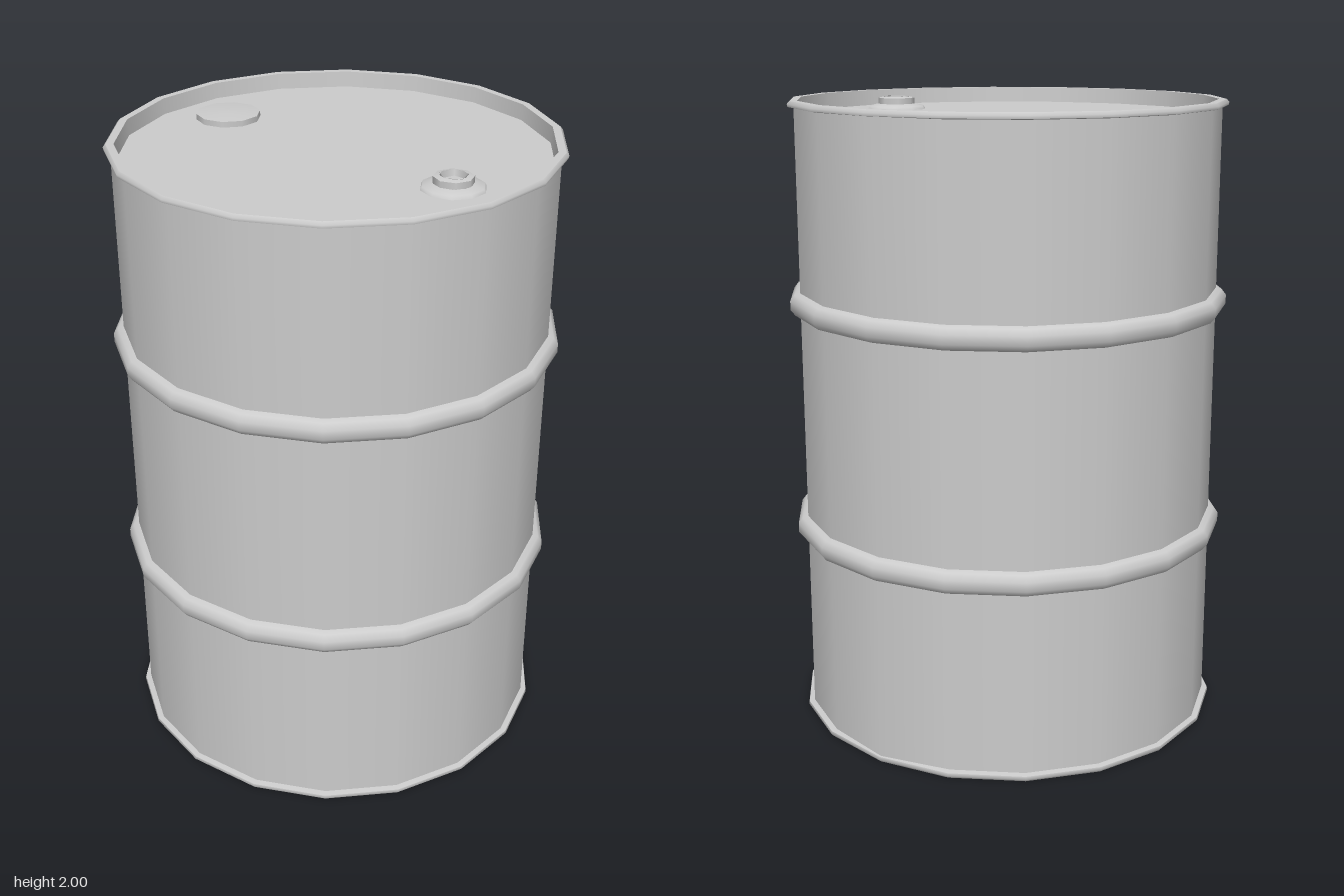
import * as THREE from 'three';

const SIDES = 18;
const material = new THREE.MeshStandardMaterial({ color: 0xcccccc, side: THREE.DoubleSide });

// Revolve a profile of [radius, y] points; each call is one smooth run.
function turn(name, profile, sides = SIDES, mat = material) {
  const points = profile.map(([r, y]) => new THREE.Vector2(r, y));
  const mesh = new THREE.Mesh(new THREE.LatheGeometry(points, sides, -Math.PI / 2), mat);
  mesh.name = name;
  return mesh;
}

// Push the wall slightly outward at one end of the +x side.
function flare(mesh, endY) {
  const p = mesh.geometry.attributes.position;
  for (let i = 0; i < p.count; i++) {
    const r = Math.hypot(p.getX(i), p.getZ(i));
    if (Math.abs(p.getY(i) - endY) < 0.01 && p.getX(i) > 0.99 * r) {
      p.setX(i, p.getX(i) * 1.018);
    }
  }
  return mesh;
}

// Rolled edge and recessed disc at one end; the bottom end is flipped over.
function makeEnd(name, recess) {
  const end = new THREE.Group();
  end.name = name;
  const lid = 1 - recess;
  end.add(
    turn('rimUnderside', [[0.665, 0.978], [0.688, 0.982]]),
    turn('rimEdge', [[0.688, 0.982], [0.69, 0.991], [0.682, 1]]),
    turn('rimTop', [[0.682, 1], [0.658, 1]]),
    turn('rimInnerWall', [[0.658, 1], [0.655, lid]]),
    turn('endDisc', [[0.655, lid], [0.33, lid], [0, lid]])
  );
  end.position.y = 1;
  return end;
}

export function createModel() {
  const drum = new THREE.Group();
  drum.name = 'drum';

  // Wall
  drum.add(
    flare(turn('lowerWall', [[0.67, 0.015], [0.67, 0.62]]), 0.015),
    turn('middleWall', [[0.67, 0.62], [0.67, 1.38]]),
    flare(turn('upperWall', [[0.67, 1.38], [0.67, 1.985]]), 1.985)
  );

  // Rolling hoops
  for (const [name, y] of [['lowerHoop', 0.637], ['upperHoop', 1.372]]) {
    drum.add(turn(name, [
      [0.668, y - 0.038], [0.688, y - 0.032], [0.702, y - 0.014],
      [0.702, y + 0.014], [0.688, y + 0.032], [0.668, y + 0.038]
    ]));
  }

  // Ends
  const top = makeEnd('topEnd', 0.05);
  const bottom = makeEnd('bottomEnd', 0.04);
  bottom.rotation.x = Math.PI;
  drum.add(top, bottom);

  // Large flat cap at the back of the lid
  const cap = new THREE.Group();
  cap.name = 'ventCap';
  cap.add(
    turn('capSide', [[0.102, 1.945], [0.102, 1.968]], 10),
    turn('capTop', [[0.102, 1.968], [0.05, 1.973], [0, 1.974]], 10)
  );
  cap.position.z = -0.47;

  // Filler plug at the front: flange, raised collar, five-sided socket
  const plug = new THREE.Group();
  plug.name = 'fillerPlug';
  plug.add(
    turn('flange', [[0.098, 1.948], [0.092, 1.96], [0.06, 1.967]], 10),
    turn('collarSide', [[0.06, 1.965], [0.06, 1.986]], 8),
    turn('collarTop', [[0.06, 1.986], [0.042, 1.99]], 8),
    turn('socketWall', [[0.044, 1.99], [0.04, 1.972]], 5),
    turn('socketFloor', [[0.042, 1.972], [0, 1.972]], 5)
  );
  plug.position.z = 0.45;

  drum.add(cap, plug);
  return drum;
}
